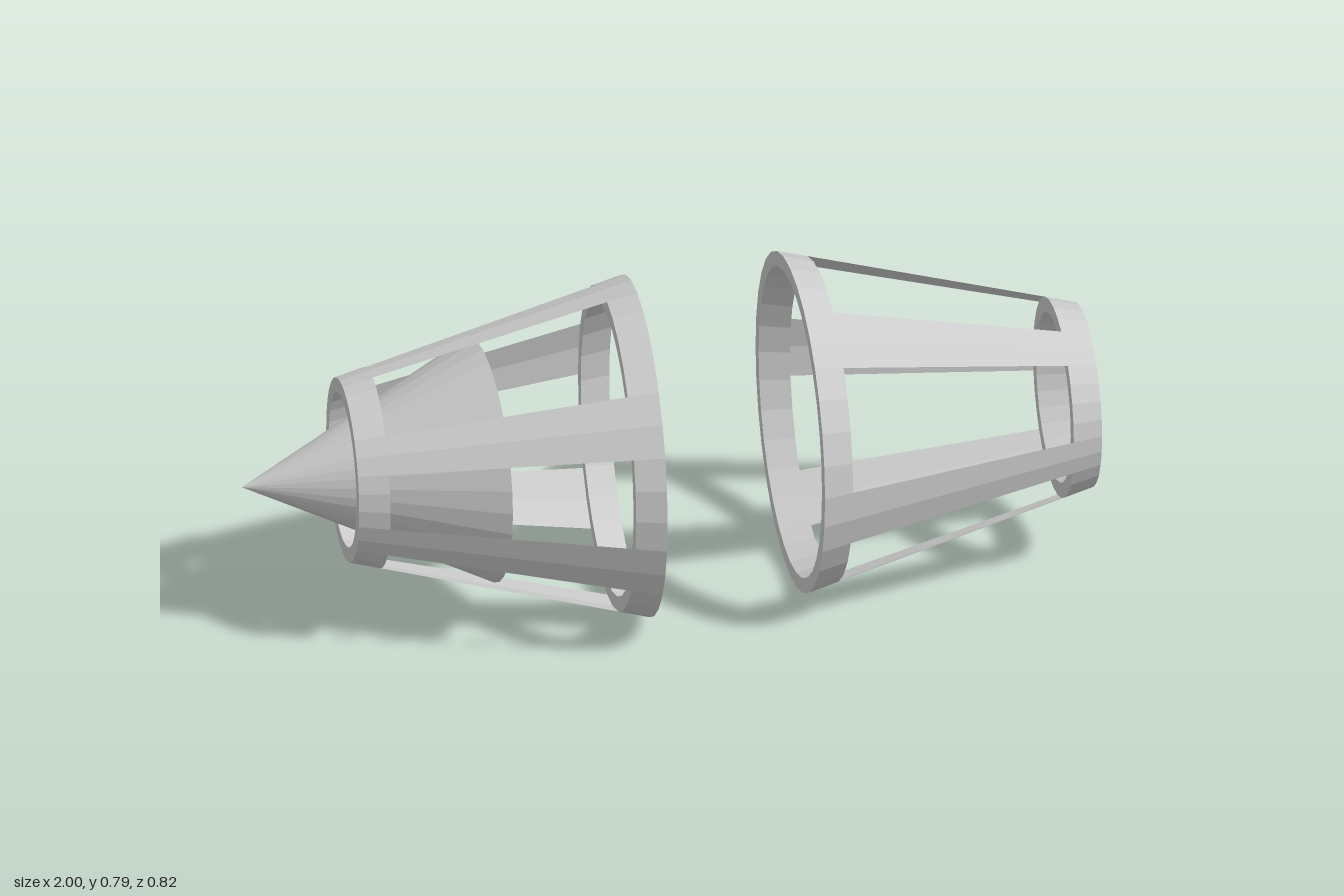
import * as THREE from 'three';

const SIDES = 32;
const STEP = (Math.PI * 2) / SIDES;
const LENGTH = 0.687, BIG = 0.396, SMALL = 0.214;   // tapered cage
const BAND = 0.07, WALL = 0.035;                    // end rings
const BAR_STARTS = [-1, 4, 10, 16, 21, 26];         // first facet of each two-facet bar

const material = new THREE.MeshStandardMaterial({
  color: 0xcccccc, flatShading: true, side: THREE.DoubleSide,
});

function part(name, geometry) {
  const mesh = new THREE.Mesh(geometry, material);
  mesh.name = name;
  return mesh;
}

const radiusAt = (d) => BIG + (SMALL - BIG) * (d / LENGTH);

// Solid tapered ring between two distances along the cage
function ring(name, from, to) {
  const a = radiusAt(from), b = radiusAt(to);
  const profile = [[a, from], [b, to], [b - WALL, to], [a - WALL, from], [a, from]]
    .map(([r, d]) => new THREE.Vector2(r, d));
  return part(name, new THREE.LatheGeometry(profile, SIDES).rotateZ(-Math.PI / 2));
}

// Cage along +x, wide end at the origin; roll is counted in facets
function cage(name, roll) {
  const group = new THREE.Group();
  group.name = name;
  group.add(ring('wideRing', 0, BAND), ring('narrowRing', LENGTH - BAND, LENGTH));

  // Thin bars joining the rings
  const from = BAND, to = LENGTH - BAND;
  for (const start of BAR_STARTS) {
    const bar = new THREE.CylinderGeometry(
      radiusAt(to), radiusAt(from), to - from, 2, 1, true,
      (start + roll + SIDES / 2) * STEP, 2 * STEP);
    bar.translate(0, (from + to) / 2, 0).rotateZ(-Math.PI / 2);
    group.add(part('cageBar', bar));
  }
  return group;
}

export function createModel() {
  const model = new THREE.Group();
  model.name = 'cagesAndCone';

  const leftCage = cage('leftCage', 0);
  leftCage.position.set(0.303, 0.398, -0.017);
  leftCage.rotation.y = -0.044;

  const rightCage = cage('rightCage', -2);
  rightCage.position.set(-0.067, 0.398, 0.012);
  rightCage.rotation.y = Math.PI - 0.069;

  // Solid cone poking out through the narrow ring
  const cone = part('cone', new THREE.ConeGeometry(0.285, 0.57, SIDES).rotateZ(Math.PI / 2));
  cone.position.set(-0.715, 0.402, 0);

  model.add(leftCage, rightCage, cone);
  return model;
}
